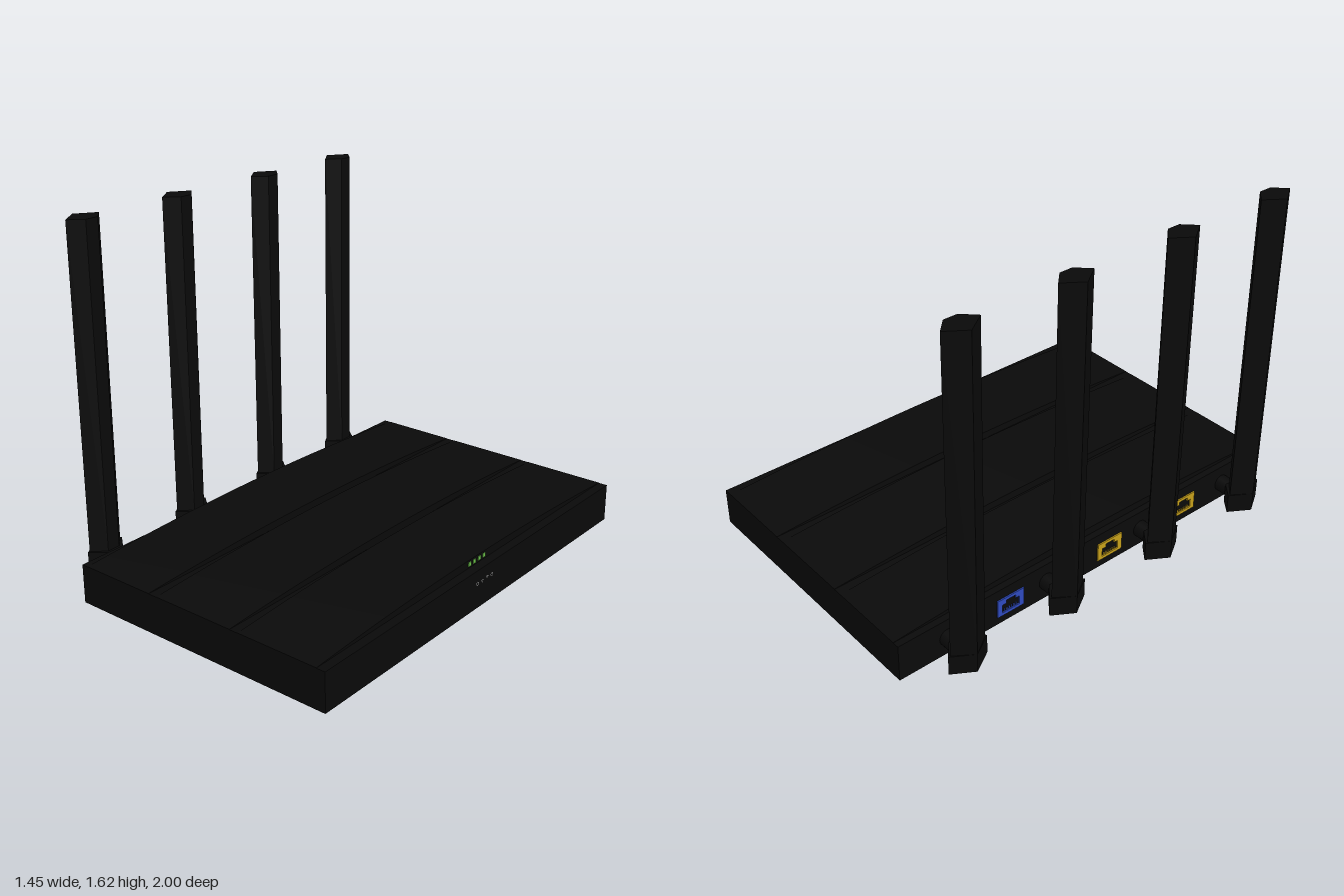
import * as THREE from 'three';
import { ConvexGeometry } from 'three/addons/geometries/ConvexGeometry.js';

const mat = (color) => new THREE.MeshStandardMaterial({ color });
const BLACK = mat(0x0a0a0a);
const GREEN = mat(0x6cc24a);
const GREY = mat(0x8a8a8a);
const BLUE = mat(0x2f4bc0);
const YELLOW = mat(0xc9a21a);

const BACK = -0.54, FRONT = 0.72, RIM = 0.26;

function add(parent, name, geometry, material, x = 0, y = 0, z = 0) {
  const mesh = new THREE.Mesh(geometry, material);
  mesh.name = name;
  mesh.position.set(x, y, z);
  parent.add(mesh);
  return mesh;
}

const polygon = (points) => new THREE.Shape(points.map(([a, b]) => new THREE.Vector2(a, b)));
const extrude = (shape, depth) =>
  new THREE.ExtrudeGeometry(shape, { depth, bevelEnabled: false, curveSegments: 16 });
// Outline in x/z pulled upwards
const extrudeUp = (shape, height) => extrude(shape, height).rotateX(-Math.PI / 2);
// Outline in z/y pulled along x
const extrudeAcross = (shape, depth) => extrude(shape, depth).rotateY(Math.PI / 2);

// Case with a chamfered underside
function bodyGeometry() {
  const points = [];
  for (const [x0, x1, y, z] of [[-0.42, 0.585, 0, 0.8], [BACK, FRONT, 0.09, 1], [BACK, FRONT, RIM, 1]])
    for (const x of [x0, x1]) for (const side of [-1, 1]) points.push(new THREE.Vector3(x, y, side * z));
  return new ConvexGeometry(points);
}

// Gently arched lid section
function panelGeometry(width) {
  const points = [[-1, RIM - 0.01], [1, RIM - 0.01]];
  for (let i = 0; i <= 20; i++) {
    const z = 1 - i / 10;
    points.push([z, RIM + 0.001 + 0.034 * (1 - z * z)]);
  }
  return extrudeAcross(polygon(points), width);
}

// Symmetric faceted cross-section: pointed back, wide middle, narrow front
const kite = (wide, narrow, end) => polygon([
  [-0.725, 0], [-0.667, -wide], [end, -narrow], [end, narrow], [-0.667, wide],
]);

function createAntenna() {
  const antenna = new THREE.Group();
  antenna.name = 'antenna';
  add(antenna, 'antennaBlade', extrudeUp(kite(0.084, 0.03, -0.613), 1.41), BLACK, 0, 0.21, 0);
  add(antenna, 'antennaBase', extrudeUp(kite(0.094, 0.042, -0.603), 0.088), BLACK, 0, 0.13, 0);
  const neck = new THREE.CylinderGeometry(0.037, 0.037, 0.09, 24).rotateZ(Math.PI / 2);
  add(antenna, 'antennaNeck', neck, BLACK, -0.575, 0.175, 0);
  return antenna;
}

// Network socket: coloured frame around a stepped opening
function createSocket(material) {
  const socket = new THREE.Group();
  socket.name = 'networkSocket';
  const frame = polygon([[-0.068, -0.042], [0.068, -0.042], [0.068, 0.042], [-0.068, 0.042]]);
  frame.holes.push(polygon([
    [-0.044, -0.028], [-0.044, 0.012], [-0.024, 0.012], [-0.024, 0.028],
    [0.024, 0.028], [0.024, 0.012], [0.044, 0.012], [0.044, -0.028],
  ]));
  add(socket, 'socketFrame', extrudeAcross(frame, 0.007), material, -0.006);
  for (let i = 0; i < 6; i++)
    add(socket, 'socketContact', new THREE.BoxGeometry(0.003, 0.012, 0.004), material, -0.001, -0.021, (i - 2.5) * 0.012);
  return socket;
}

// Small printed symbols on the front face
function addSymbols(parent) {
  const ring = (inner, outer, start = 0, sweep = Math.PI * 2) =>
    new THREE.RingGeometry(inner, outer, 20, 1, start, sweep).rotateY(Math.PI / 2);
  const x = FRONT + 0.002, y = 0.203;
  add(parent, 'powerSymbol', ring(0.006, 0.009, Math.PI * 0.65, Math.PI * 1.7), GREY, x, y, 0.051);
  add(parent, 'powerSymbolBar', new THREE.BoxGeometry(0.002, 0.01, 0.003), GREY, x, y + 0.006, 0.051);
  add(parent, 'networkSymbol', new THREE.RingGeometry(0.006, 0.01, 3, 1, -Math.PI / 2).rotateY(Math.PI / 2), GREY, x, y, 0.017);
  for (const r of [0.005, 0.011])
    add(parent, 'wirelessSymbol', ring(r, r + 0.003, Math.PI / 4, Math.PI / 2), GREY, x, y - 0.005, -0.017);
  add(parent, 'ringSymbol', ring(0.006, 0.009), GREY, x, y, -0.052);
}

export function createModel() {
  const model = new THREE.Group();
  model.name = 'router';

  add(model, 'body', bodyGeometry(), BLACK);
  for (const [x0, x1] of [[-0.51, -0.16], [-0.118, 0.265], [0.305, 0.68]])
    add(model, 'topPanel', panelGeometry(x1 - x0), BLACK, x0);

  for (const z of [-0.77, -0.265, 0.265, 0.77]) {
    const antenna = createAntenna();
    antenna.position.z = z;
    model.add(antenna);
  }

  for (const [z, material] of [[-0.455, BLUE], [0.085, YELLOW], [0.525, YELLOW]]) {
    const socket = createSocket(material);
    socket.position.set(BACK, 0.17, z);
    model.add(socket);
  }

  // Status lights on the front edge of the lid
  for (const z of [0.051, 0.017, -0.017, -0.051])
    add(model, 'statusLight', new THREE.BoxGeometry(0.006, 0.018, 0.018), GREEN, 0.68, 0.277, z);
  addSymbols(model);

  return model;
}
